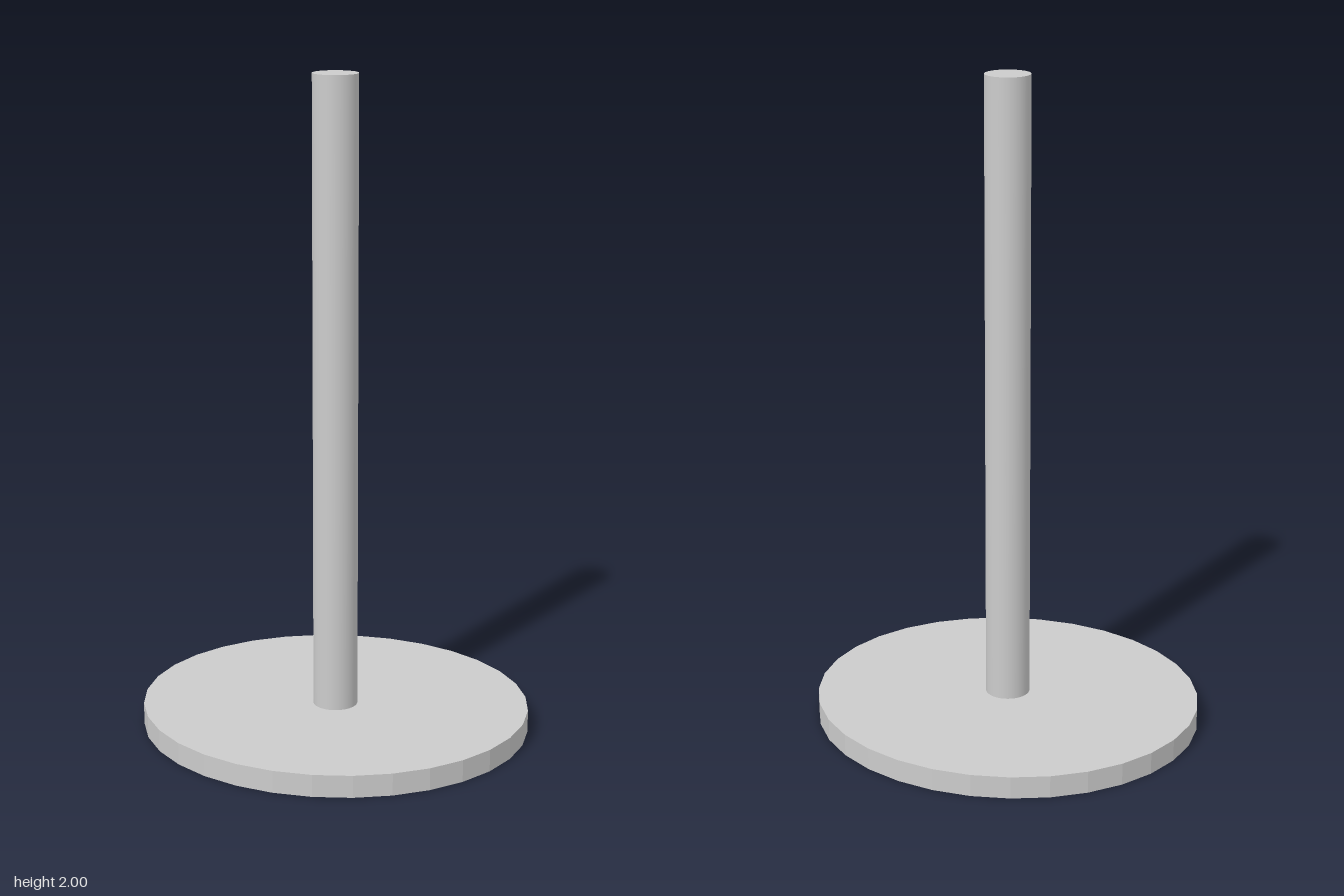
import * as THREE from 'three';

export function createModel() {
  const group = new THREE.Group();
  const baseHeight = 0.068;
  const poleRadius = 0.068;

  // Faceted, slightly oval foot plate
  const baseGeometry = new THREE.CylinderGeometry(1, 1, baseHeight, 32);
  baseGeometry.scale(0.597, 1, 0.557);
  const base = new THREE.Mesh(
    baseGeometry,
    new THREE.MeshStandardMaterial({ color: 0xcccccc, flatShading: true })
  );
  base.name = 'base';
  base.position.y = baseHeight / 2;
  group.add(base);

  // Smooth round pole, slightly off centre, standing on the plate
  const poleHeight = 2 - baseHeight;
  const pole = new THREE.Mesh(
    new THREE.CylinderGeometry(poleRadius, poleRadius, poleHeight, 48),
    new THREE.MeshStandardMaterial({ color: 0xcccccc })
  );
  pole.name = 'pole';
  pole.position.set(0.005, baseHeight + poleHeight / 2, 0.014);
  group.add(pole);

  return group;
}
